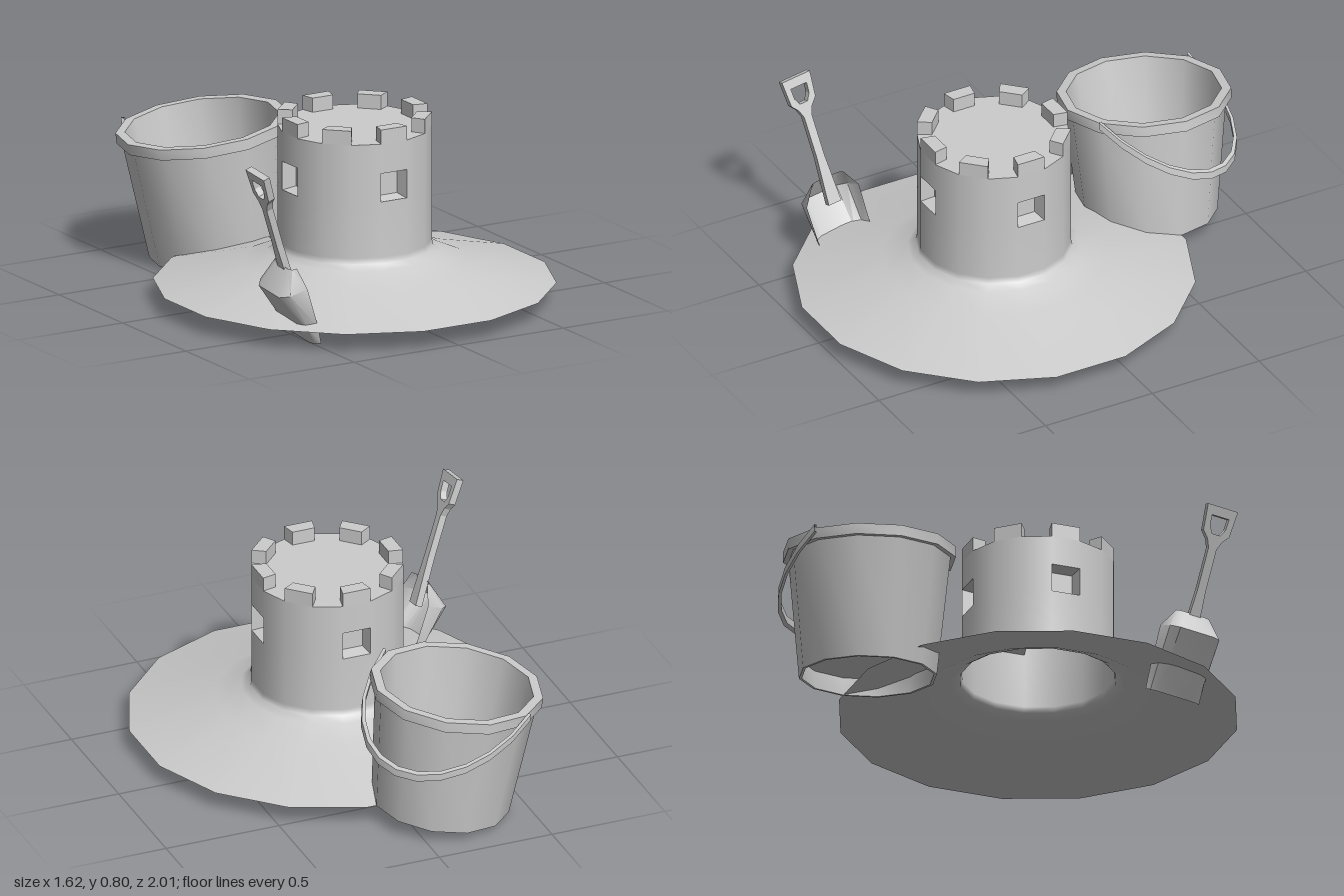
import * as THREE from 'three';
import { toCreasedNormals } from 'three/addons/utils/BufferGeometryUtils.js';

const material = new THREE.MeshStandardMaterial({ color: 0xcccccc, side: THREE.DoubleSide });
const points = (list) => list.map(([x, y]) => new THREE.Vector2(x, y));

function add(parent, name, geometry) {
  const mesh = new THREE.Mesh(geometry, material);
  mesh.name = name;
  parent.add(mesh);
  return mesh;
}

function createCastle() {
  const castle = new THREE.Group();
  castle.name = 'sandCastle';
  const step = Math.PI / 8, start = step / 2;
  const R = 0.316, face = R * Math.cos(start), half = R * Math.sin(start);
  const low = 0.5, high = 0.62, top = 0.745;
  const ring = (profile, from = start, sides = 16) =>
    new THREE.LatheGeometry(points(profile), sides, from, sides * step);

  // Sand mound flowing into the tower wall
  add(castle, 'moundAndLowerWall', ring([[0.826, 0.085], [0.46, 0.175], [0.355, 0.22], [0.322, 0.24], [R, 0.265], [R, low]]));
  add(castle, 'upperWall', ring([[R, high], [R, top]]));
  add(castle, 'towerRoof', ring([[R, top], [0, top]]));

  // Wall panels between the windows, and the tapered window recesses
  const depth = 0.06, inner = 0.05;
  for (let i = 0; i < 4; i++) {
    add(castle, 'wallPanel', ring([[R, low], [R, high]], start + i * Math.PI / 2, 3));
    const window = new THREE.Group();
    window.name = 'window';
    const sides = new THREE.CylinderGeometry(half * Math.SQRT2, inner * Math.SQRT2, depth, 4, 1, true, Math.PI / 4)
      .rotateX(Math.PI / 2).translate(0, 0, face - depth / 2);
    add(window, 'windowSides', toCreasedNormals(sides, 0.5));
    add(window, 'windowBack', new THREE.PlaneGeometry(inner * 2, inner * 2).translate(0, 0, face - depth));
    window.position.y = (low + high) / 2;
    window.rotation.y = i * Math.PI / 2;
    castle.add(window);
  }

  // Battlements
  const block = new THREE.Shape(points([[-half, -face], [half, -face], [0.049, -0.25], [-0.049, -0.25]]));
  const blockGeometry = new THREE.ExtrudeGeometry(block, { depth: 0.06, bevelEnabled: false }).rotateX(-Math.PI / 2);
  for (let i = 0; i < 8; i++) {
    const merlon = add(castle, 'battlement', blockGeometry);
    merlon.position.y = top;
    merlon.rotation.y = i * Math.PI / 4;
  }
  castle.position.z = 0.18;
  return castle;
}

function createBucket() {
  const bucket = new THREE.Group();
  bucket.name = 'bucket';
  // Closed profile: recessed base, outer wall, rim, inner wall, floor
  const body = new THREE.LatheGeometry(points([
    [0, 0.075], [0.278, 0.075], [0.273, 0], [0.285, 0], [0.335, 0.5], [0.357, 0.5],
    [0.357, 0.545], [0.318, 0.545], [0.265, 0.085], [0, 0.085],
  ]), 12, Math.PI / 2);
  add(bucket, 'bucketBody', toCreasedNormals(body, 0.7));

  // Carrying strap: a half ring sheared downwards to hang at one side
  const strap = new THREE.LatheGeometry(points([
    [0.36, -0.015], [0.374, -0.015], [0.374, 0.015], [0.36, 0.015], [0.36, -0.015],
  ]), 12, 0, Math.PI);
  const hang = new THREE.Matrix4().set(1, 0, 0, 0, -0.74, 1, 0, 0, 0, 0, 1, 0, 0, 0, 0, 1);
  const handle = add(bucket, 'bucketHandle', toCreasedNormals(strap.applyMatrix4(hang), 0.7));
  handle.position.y = 0.54;
  handle.rotation.y = 0.55;

  bucket.position.set(-0.16, 0.05, -0.63);
  bucket.rotation.set(-0.035, 0, 0.123);
  return bucket;
}

function createShovel() {
  const shovel = new THREE.Group();
  shovel.name = 'shovel';

  // Shaft with a holed grip, cut from one flat outline
  const right = [[0.03, 0.24], [0.018, 0.45], [0.018, 0.63], [0.032, 0.665], [0.058, 0.695], [0.067, 0.805]];
  const left = right.map(([x, y]) => [-x, y]).reverse();
  const outline = new THREE.Shape(points([...right, ...left]));
  outline.holes.push(new THREE.Path(points([
    [-0.038, 0.765], [-0.035, 0.72], [-0.018, 0.69], [0.018, 0.69], [0.035, 0.72], [0.038, 0.765],
  ])));
  add(shovel, 'shaftAndGrip', new THREE.ExtrudeGeometry(outline, { depth: 0.03, bevelEnabled: false }).translate(0, 0, -0.008));

  // Scoop: sections of [height, half width, back depth, edge depth]
  const sections = [[0, 0.12, -0.012, 0.016], [0.08, 0.122, -0.035, 0.022], [0.27, 0.126, -0.09, 0.02], [0.35, 0.075, 0, 0.024]];
  const across = [[-1, 1], [-0.88, 0.3], [-0.6, 0], [0.6, 0], [0.88, 0.3], [1, 1]];
  const vertices = [], index = [], n = across.length;
  sections.forEach(([y, w, back, edge], row) => across.forEach(([x, t], col) => {
    vertices.push(x * w, y, back + (edge - back) * t);
    if (row && col) {
      const b = row * n + col, a = b - n;
      index.push(a - 1, a, b, a - 1, b, b - 1);
    }
  }));
  const scoop = new THREE.BufferGeometry();
  scoop.setAttribute('position', new THREE.Float32BufferAttribute(vertices, 3));
  scoop.setIndex(index);
  add(shovel, 'scoop', toCreasedNormals(scoop, 0.7));

  // Lean it with the open side of the scoop towards the castle
  const up = new THREE.Vector3(-0.35, 0.93, 0.13).normalize();
  const side = new THREE.Vector3().crossVectors(up, new THREE.Vector3(0.94, 0.35, 0)).normalize();
  const front = new THREE.Vector3().crossVectors(side, up);
  shovel.quaternion.setFromRotationMatrix(new THREE.Matrix4().makeBasis(side, up, front));
  shovel.position.set(-0.495, 0.02, 0.58);
  return shovel;
}

export function createModel() {
  const model = new THREE.Group();
  model.name = 'sandCastleWithBucketAndShovel';
  model.add(createCastle(), createBucket(), createShovel());
  return model;
}
